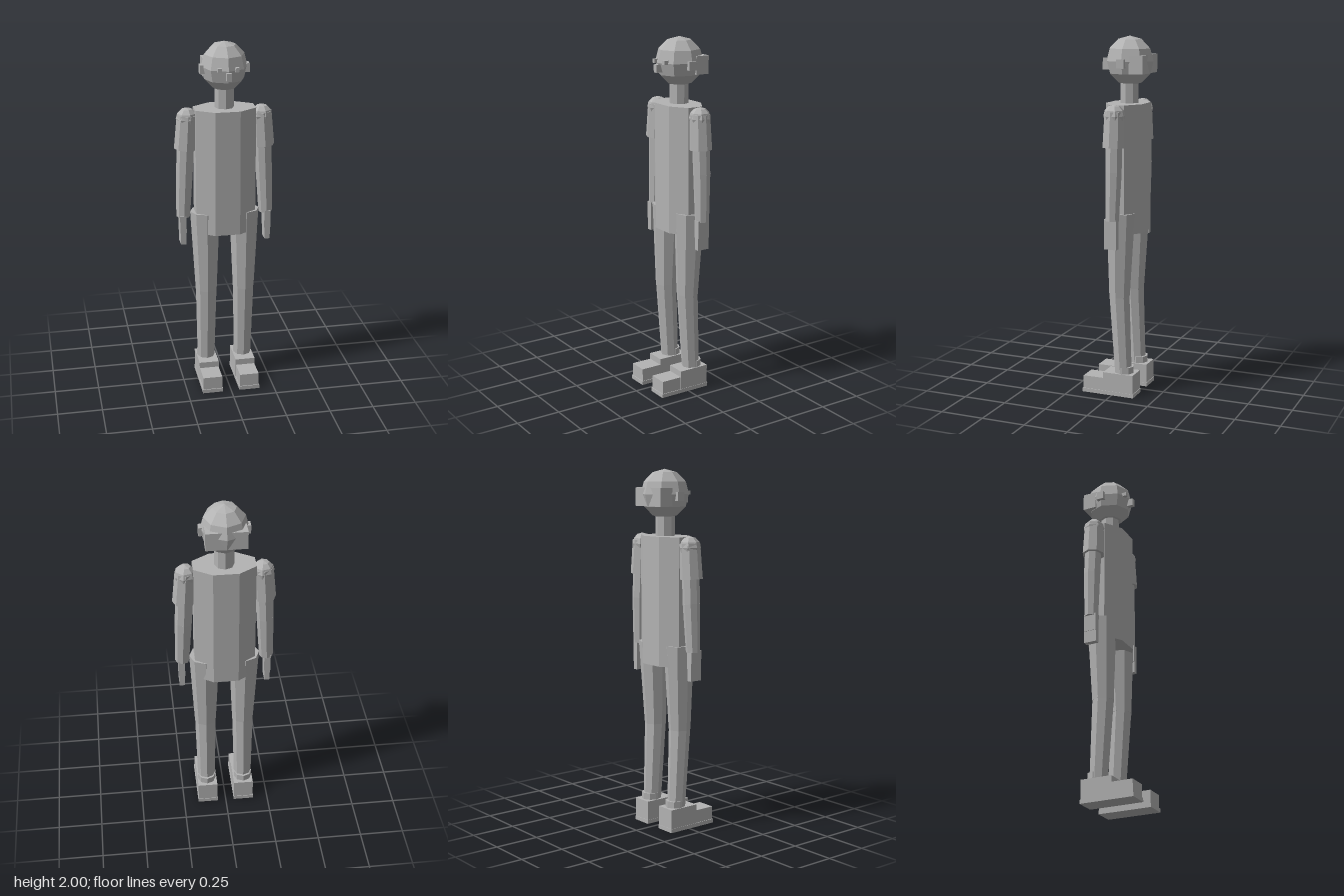
import * as THREE from 'three';

export function createModel() {
  const model = new THREE.Group();
  model.name = 'figure';
  const grey = new THREE.MeshStandardMaterial({ color: 0xb3b3b3, flatShading: true });
  grey.name = 'grey';

  const add = (name, geometry, parent = model) => {
    const mesh = new THREE.Mesh(geometry, grey);
    mesh.name = name;
    parent.add(mesh);
    return mesh;
  };

  // Box given by its low and high corners
  const box = (name, lo, hi, parent) => {
    const g = new THREE.BoxGeometry(hi[0] - lo[0], hi[1] - lo[1], hi[2] - lo[2]);
    g.translate((lo[0] + hi[0]) / 2, (lo[1] + hi[1]) / 2, (lo[2] + hi[2]) / 2);
    return add(name, g, parent);
  };

  // Box placed on the left or right side
  const sideBox = (name, s, lo, hi, parent) => {
    const xs = [lo[0] * s, hi[0] * s].sort((a, b) => a - b);
    return box(name, [xs[0], lo[1], lo[2]], [xs[1], hi[1], hi[2]], parent);
  };

  // Tapered limb running from a (upper) to b (lower)
  const limb = (name, a, b, ra, rb, sides, parent) => {
    const top = new THREE.Vector3(...a), bottom = new THREE.Vector3(...b);
    const axis = top.clone().sub(bottom);
    const mesh = add(name, new THREE.CylinderGeometry(ra, rb, axis.length(), sides), parent);
    mesh.position.copy(top).add(bottom).multiplyScalar(0.5);
    mesh.quaternion.setFromUnitVectors(new THREE.Vector3(0, 1, 0), axis.normalize());
    return mesh;
  };

  // Torso: octagonal prism with a flat front and flat sides
  const r = 1 / Math.cos(Math.PI / 8);
  const torso = new THREE.CylinderGeometry(r, r, 0.71, 8, 1, false, Math.PI / 8);
  torso.scale(0.167, 1, 0.105);
  add('torso', torso).position.set(0, 1.283, -0.035);

  // Neck and head
  limb('neck', [0, 1.76, -0.04], [0, 1.62, -0.04], 0.053, 0.053, 8);
  const head = new THREE.Group();
  head.name = 'head';
  model.add(head);
  const skull = new THREE.SphereGeometry(1, 8, 6);
  skull.scale(0.127, 0.135, 0.137);
  add('skull', skull, head).position.set(0, 1.865, -0.043);
  box('backHair', [-0.11, 1.8, -0.16], [0.11, 1.9, -0.08], head);
  box('nose', [-0.013, 1.815, 0.05], [0.013, 1.858, 0.113], head);

  for (const s of [1, -1]) {
    const side = s > 0 ? 'left' : 'right';
    sideBox(side + 'Eye', s, [0.037, 1.86, 0.04], [0.058, 1.882, 0.092], head);
    sideBox(side + 'Ear', s, [0.1, 1.83, -0.062], [0.136, 1.878, -0.018], head);

    // Arm
    const arm = new THREE.Group();
    arm.name = side + 'Arm';
    model.add(arm);
    add('shoulder', new THREE.SphereGeometry(0.06, 7, 6), arm).position.set(0.207 * s, 1.585, -0.038);
    limb('sleeve', [0.206 * s, 1.605, -0.037], [0.218 * s, 1.415, -0.036], 0.056, 0.062, 8, arm);
    limb('upperArm', [0.21 * s, 1.55, -0.037], [0.223 * s, 1.28, -0.04], 0.048, 0.047, 8, arm);
    limb('forearm', [0.223 * s, 1.285, -0.04], [0.234 * s, 1.02, -0.036], 0.047, 0.039, 8, arm);
    sideBox('palm', s, [0.221, 0.93, -0.068], [0.257, 1.03, 0.003], arm);
    sideBox('fingers', s, [0.224, 0.863, -0.068], [0.254, 0.94, 0.003], arm);

    // Leg
    const leg = new THREE.Group();
    leg.name = side + 'Leg';
    model.add(leg);
    limb('thigh', [0.111 * s, 1.045, -0.035], [0.108 * s, 0.57, -0.026], 0.084, 0.061, 8, leg);
    limb('shin', [0.108 * s, 0.575, -0.026], [0.108 * s, 0.12, -0.05], 0.06, 0.05, 8, leg);
    limb('ankle', [0.108 * s, 0.167, -0.06], [0.108 * s, 0.1, -0.06], 0.052, 0.052, 8, leg);

    // Shoe
    sideBox('sole', s, [0.048, 0, -0.13], [0.165, 0.022, 0.178], leg);
    sideBox('toe', s, [0.052, 0.02, 0.03], [0.161, 0.095, 0.173], leg);
    sideBox('heel', s, [0.05, 0.02, -0.127], [0.163, 0.13, 0.052], leg);
  }
  return model;
}
